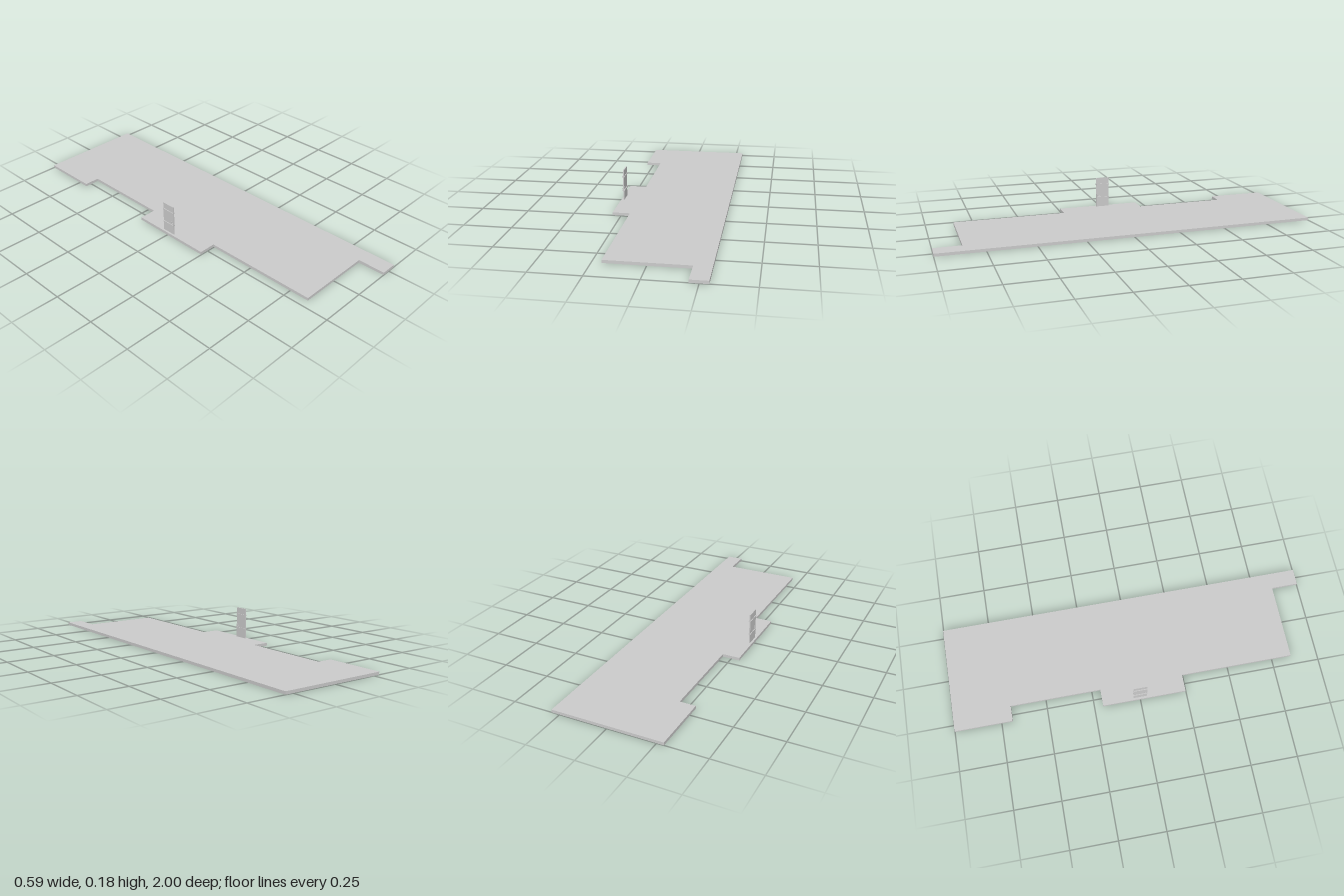
import * as THREE from 'three';

export function createModel() {
  const model = new THREE.Group();
  const grey = new THREE.MeshStandardMaterial({ color: 0xcccccc, flatShading: true });

  function add(parent, name, geometry, x = 0, y = 0, z = 0) {
    const mesh = new THREE.Mesh(geometry, grey);
    mesh.name = name;
    mesh.position.set(x, y, z);
    parent.add(mesh);
    return mesh;
  }

  // Floor slab: outline in (x, z), with side bays and a notched front corner
  const outline = [
    [-0.286, -1], [0.293, -1], [0.293, 1], [0.206, 1], [0.206, 0.855], [-0.203, 0.855],
    [-0.203, 0.247], [-0.294, 0.247], [-0.294, -0.203], [-0.203, -0.203],
    [-0.203, -0.69], [-0.286, -0.69],
  ];
  const shape = new THREE.Shape(outline.map(([x, z]) => new THREE.Vector2(x, -z)));
  const slab = new THREE.ExtrudeGeometry(shape, { depth: 0.015, bevelEnabled: false });
  slab.rotateX(-Math.PI / 2);
  add(model, 'floor', slab);

  // Standing door
  const door = new THREE.Group();
  door.name = 'door';
  door.position.set(-0.28, 0.015, 0.001);
  model.add(door);
  add(door, 'doorLeaf', new THREE.BoxGeometry(0.006, 0.166, 0.074), 0, 0.083, 0);

  for (const side of [-1, 1]) {
    // Horizontal straps on each face
    for (const y of [0.053, 0.129]) {
      add(door, 'strap', new THREE.BoxGeometry(0.004, 0.007, 0.074), side * 0.005, y, 0);
    }
    // Ring handle hanging from a small boss
    add(door, 'handleBoss', new THREE.BoxGeometry(0.003, 0.006, 0.005), side * 0.0042, 0.071, 0.025);
    const ring = add(door, 'handleRing', new THREE.TorusGeometry(0.005, 0.0008, 6, 12), side * 0.006, 0.065, 0.025);
    ring.rotation.set(0, Math.PI / 2, side * 0.25, 'ZYX');
  }
  return model;
}
